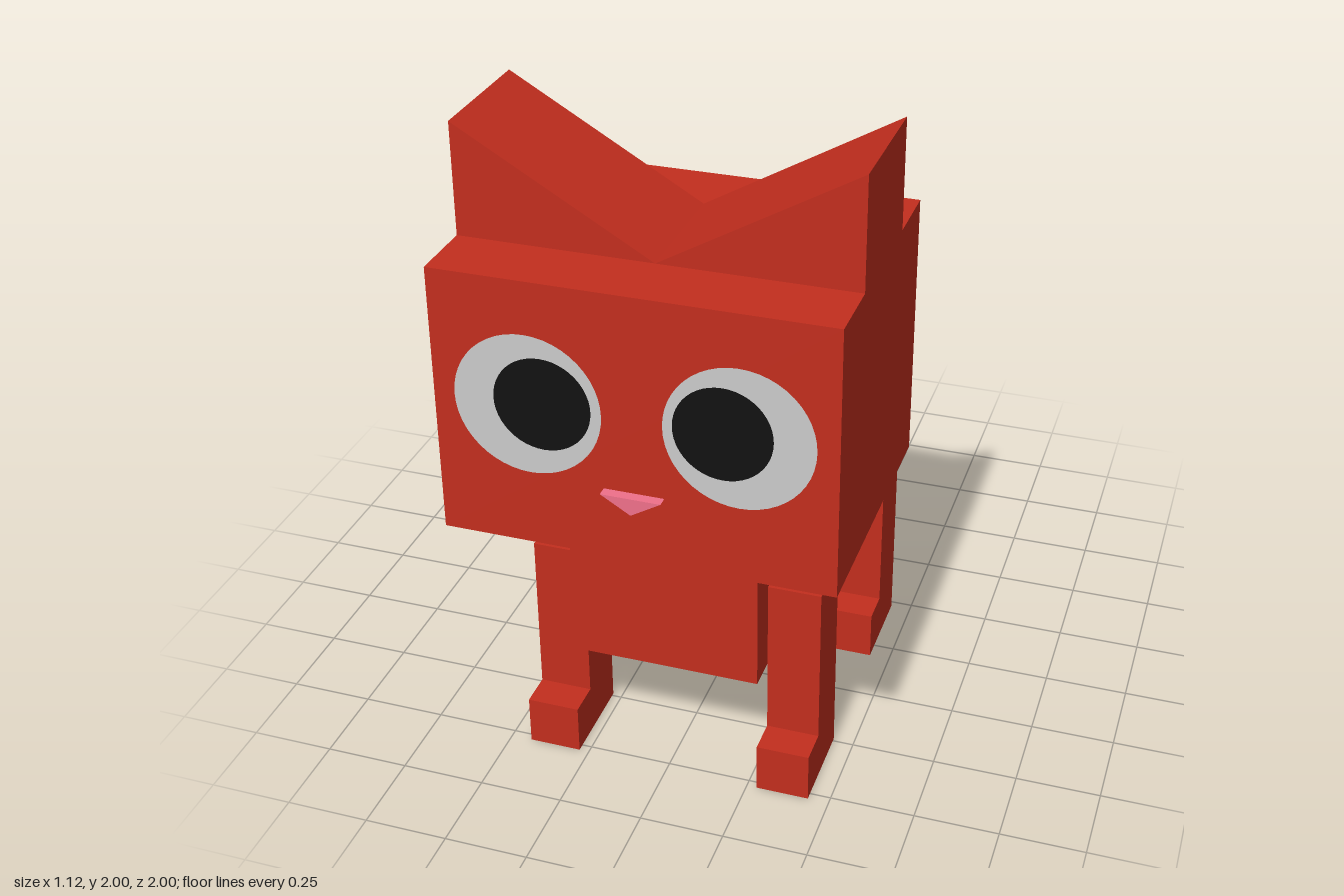
import * as THREE from 'three';

const paint = (color) => new THREE.MeshStandardMaterial({ color, flatShading: true });

export function createModel() {
  const model = new THREE.Group();
  model.name = 'blockCat';
  const fur = paint(0xc32e1e), white = paint(0xffffff), black = paint(0x111111), pink = paint(0xf0708a);

  const add = (name, geometry, material, parent = model) => {
    const mesh = new THREE.Mesh(geometry, material);
    mesh.name = name;
    parent.add(mesh);
    return mesh;
  };

  // Box given by its limits on each axis
  const box = (name, [x0, x1], [y0, y1], [z0, z1], parent) =>
    add(name, new THREE.BoxGeometry(x1 - x0, y1 - y0, z1 - z0), fur, parent)
      .position.set((x0 + x1) / 2, (y0 + y1) / 2, (z0 + z1) / 2);

  // Prism with a front outline (counter-clockwise) between two depths
  const prism = (name, points, z0, z1, material) => {
    const shape = new THREE.Shape(points.map(([x, y]) => new THREE.Vector2(x, y)));
    const geometry = new THREE.ExtrudeGeometry(shape, { depth: z1 - z0, bevelEnabled: false });
    add(name, geometry, material).position.z = z0;
  };

  // Torso, chest with neck, tail and head
  box('body', [-0.28, 0.28], [0.38, 0.65], [-0.31, 0.38]);
  box('chestAndNeck', [-0.28, 0.28], [0.38, 0.88], [0.38, 0.77]);
  box('tail', [-0.087, 0.087], [0.465, 0.65], [-1, -0.31]);
  box('head', [-0.56, 0.56], [0.88, 1.675], [0.175, 0.97]);

  // Nose
  prism('nose', [[-0.085, 1.093], [0, 1.042], [0.085, 1.093]], 0.97, 1, pink);

  for (const [side, s] of [['left', 1], ['right', -1]]) {
    // Wedge ear, tall at the outer side of the head
    prism(side + 'Ear', [[0, 1.675], [s * 0.56, 1.675], [s * 0.56, 2]], 0.38, 0.77, fur);

    // Flat eye and pupil on the face
    add(side + 'Eye', new THREE.CircleGeometry(0.208, 48), white).position.set(s * 0.292, 1.313, 0.972);
    add(side + 'Pupil', new THREE.CircleGeometry(0.137, 48), black).position.set(s * 0.249, 1.322, 0.975);

    // Legs with a toe pointing forward
    const xs = s > 0 ? [0.28, 0.437] : [-0.437, -0.28];
    for (const [end, back] of [['Front', 0.49], ['Back', -0.228]]) {
      const leg = new THREE.Group();
      leg.name = side + end + 'Leg';
      model.add(leg);
      box('shin', xs, [0, 0.65], [back, back + 0.18], leg);
      box('toe', xs, [0, 0.152], [back + 0.18, back + 0.283], leg);
    }
  }
  return model;
}
